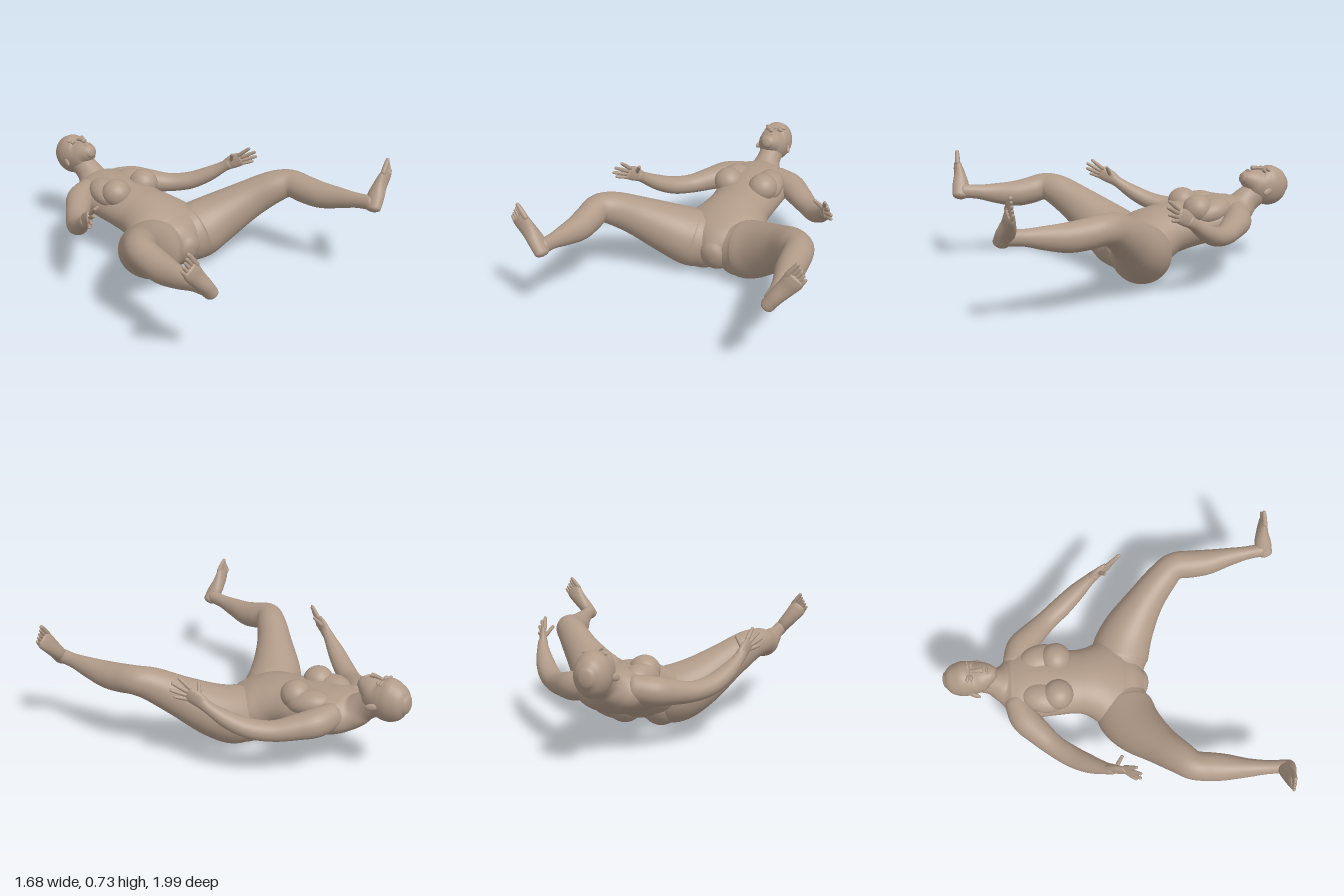
import * as THREE from 'three';

const skin = new THREE.MeshStandardMaterial({ color: 0xb09a88 });
const V = (x, y, z) => new THREE.Vector3(x, y, z);
const UP = V(0, 1, 0);

// Smooth closed skin through oval sections [x, y, z, halfWidth, halfHeight], with domed ends
function loft(sections, { up = UP, steps = 6, sides = 28, dome = 0.6 } = {}) {
  const path = new THREE.CatmullRomCurve3(sections.map(s => V(s[0], s[1], s[2])), false, 'catmullrom');
  const size = new THREE.CatmullRomCurve3(sections.map(s => V(s[3], s[4], 0)), false, 'catmullrom');
  const count = (sections.length - 1) * steps;
  const rings = [];
  const domeRings = 4;
  const addRing = (t, push = 0, scale = 1) => {
    const tangent = path.getTangent(t);
    const r = size.getPoint(t);
    const c = path.getPoint(t).addScaledVector(tangent, push * dome * Math.min(r.x, r.y));
    const side = V(0, 0, 0).crossVectors(up, tangent).normalize();
    const normal = V(0, 0, 0).crossVectors(tangent, side);
    rings.push({ c, side, normal, a: r.x * scale, b: r.y * scale });
  };
  const angle = k => (k / domeRings) * Math.PI * 0.47;
  for (let k = domeRings; k > 0; k--) addRing(0, -Math.sin(angle(k)), Math.cos(angle(k)));
  for (let i = 0; i <= count; i++) addRing(i / count);
  for (let k = 1; k <= domeRings; k++) addRing(1, Math.sin(angle(k)), Math.cos(angle(k)));

  const pos = [], index = [];
  for (const { c, side, normal, a, b } of rings) {
    for (let j = 0; j < sides; j++) {
      const th = (j / sides) * Math.PI * 2;
      const p = c.clone().addScaledVector(side, a * Math.cos(th)).addScaledVector(normal, b * Math.sin(th));
      pos.push(p.x, p.y, p.z);
    }
  }
  const last = rings.length - 1, start = rings.length * sides, end = start + 1;
  pos.push(...rings[0].c.toArray(), ...rings[last].c.toArray());
  for (let j = 0; j < sides; j++) {
    const k = (j + 1) % sides;
    for (let i = 0; i < last; i++) {
      const p = i * sides, q = p + sides;
      index.push(p + j, p + k, q + j, p + k, q + k, q + j);
    }
    index.push(start, k, j, end, last * sides + j, last * sides + k);
  }
  const g = new THREE.BufferGeometry();
  g.setAttribute('position', new THREE.Float32BufferAttribute(pos, 3));
  g.setIndex(index);
  g.computeVertexNormals();
  return g;
}

function add(parent, name, geometry) {
  const mesh = new THREE.Mesh(geometry, skin);
  mesh.name = name;
  parent.add(mesh);
  return mesh;
}

function ellipsoid(parent, name, p, r, rot = [0, 0, 0]) {
  const mesh = add(parent, name, new THREE.SphereGeometry(1, 32, 20));
  mesh.position.set(...p);
  mesh.scale.set(...r);
  mesh.rotation.set(...rot);
}

function digit(parent, name, from, to, r) {
  const mid = from.clone().lerp(to, 0.55);
  add(parent, name, loft([[...from.toArray(), r, r], [...mid.toArray(), r * 0.95, r * 0.95],
    [...to.toArray(), r * 0.75, r * 0.75]], { steps: 4, sides: 12, dome: 1 }));
}

function buildHead(group) {
  const head = new THREE.Group();
  head.name = 'head';
  group.add(head);
  // skull tapering to the chin
  add(head, 'skull', loft([
    [0, 0.495, -0.985, 0.045, 0.052], [0, 0.495, -0.955, 0.077, 0.092], [0, 0.493, -0.90, 0.096, 0.12],
    [0, 0.495, -0.85, 0.096, 0.119], [0, 0.507, -0.80, 0.089, 0.098], [0, 0.53, -0.76, 0.075, 0.071],
    [0, 0.545, -0.72, 0.052, 0.048], [0, 0.55, -0.70, 0.034, 0.032],
  ], { sides: 36, dome: 0.35 }));
  add(head, 'nose', loft([[0, 0.600, -0.83, 0.010, 0.008], [0, 0.606, -0.795, 0.011, 0.011],
    [0, 0.606, -0.765, 0.017, 0.013]], { sides: 16 }));
  ellipsoid(head, 'upperLip', [0, 0.591, -0.739], [0.024, 0.009, 0.006]);
  ellipsoid(head, 'lowerLip', [0, 0.586, -0.729], [0.021, 0.009, 0.006]);
  for (const s of [1, -1]) {
    ellipsoid(head, 'eye', [s * 0.038, 0.591, -0.828], [0.018, 0.014, 0.01]);
    ellipsoid(head, 'brow', [s * 0.04, 0.595, -0.848], [0.027, 0.013, 0.009], [0, s * 0.15, 0]);
    ellipsoid(head, 'ear', [s * 0.099, 0.472, -0.825], [0.011, 0.02, 0.036], [0.25, s * 0.3, 0]);
  }
}

function buildArm(group, s) {
  const arm = new THREE.Group();
  arm.name = s > 0 ? 'leftArm' : 'rightArm';
  group.add(arm);
  add(arm, 'armSkin', loft([
    [0.12, 0.36, -0.60, 0.07, 0.075], [0.22, 0.345, -0.56, 0.083, 0.08], [0.30, 0.33, -0.49, 0.075, 0.07],
    [0.39, 0.317, -0.40, 0.063, 0.057], [0.47, 0.335, -0.30, 0.061, 0.054], [0.535, 0.385, -0.205, 0.052, 0.047],
    [0.582, 0.446, -0.12, 0.034, 0.034], [0.598, 0.475, -0.08, 0.028, 0.036],
  ].map(([x, ...r]) => [s * x, ...r])));
  // palm turned inward, fingers fanned upward and forward
  add(arm, 'palm', loft([[0.59, 0.462, -0.10, 0.025, 0.034], [0.607, 0.494, -0.055, 0.021, 0.044],
    [0.623, 0.517, -0.012, 0.016, 0.042]].map(([x, ...r]) => [s * x, ...r])));
  const fingers = [
    ['indexFinger', [0.612, 0.545, -0.015], [0.632, 0.597, 0.045]],
    ['middleFinger', [0.625, 0.530, -0.003], [0.662, 0.572, 0.066]],
    ['ringFinger', [0.630, 0.510, 0], [0.678, 0.538, 0.064]],
    ['littleFinger', [0.630, 0.489, -0.005], [0.672, 0.503, 0.042]],
    ['thumb', [0.593, 0.505, -0.06], [0.554, 0.560, -0.025]],
  ];
  for (const [name, a, b] of fingers)
    digit(arm, name, V(s * a[0], a[1], a[2]), V(s * b[0], b[1], b[2]), 0.012);
}

function buildLeg(group, s) {
  const leg = new THREE.Group();
  leg.name = s > 0 ? 'leftLeg' : 'rightLeg';
  group.add(leg);
  // the right leg rests a little lower and further back
  const place = ([x, y, z, ...r]) => {
    const k = s > 0 ? 0 : THREE.MathUtils.smoothstep(z, 0.1, 0.75);
    return [s * x, y - 0.04 * k, z - 0.05 * k, ...r];
  };
  add(leg, 'legSkin', loft([
    [0.09, 0.175, 0.01, 0.15, 0.16], [0.19, 0.195, 0.03, 0.175, 0.172], [0.31, 0.258, 0.09, 0.155, 0.152],
    [0.45, 0.365, 0.205, 0.112, 0.118], [0.55, 0.445, 0.31, 0.093, 0.098], [0.61, 0.474, 0.39, 0.082, 0.083],
    [0.622, 0.462, 0.50, 0.08, 0.082], [0.63, 0.457, 0.60, 0.073, 0.078], [0.645, 0.47, 0.72, 0.053, 0.062],
    [0.655, 0.485, 0.83, 0.039, 0.044], [0.662, 0.495, 0.92, 0.038, 0.042],
  ].map(place), { sides: 36 }));
  // foot with the sole facing forward, toes up and outward
  add(leg, 'foot', loft([
    [0.652, 0.472, 0.945, 0.036, 0.044], [0.69, 0.525, 0.93, 0.041, 0.05],
    [0.735, 0.58, 0.925, 0.047, 0.036], [0.77, 0.625, 0.928, 0.052, 0.025], [0.785, 0.645, 0.93, 0.047, 0.018],
  ].map(place), { up: V(0, 0, 1) }));
  for (let i = 0; i < 5; i++) {
    const across = -0.039 + 0.0195 * i, length = 0.076 - 0.009 * i;
    const x = 0.775 + 0.8 * across, y = 0.635 - 0.6 * across;
    digit(leg, 'toe', V(...place([x, y, 0.932])),
      V(...place([x + 0.6 * length, y + 0.8 * length, 0.925])), i ? 0.011 : 0.015);
  }
}

export function createModel() {
  const figure = new THREE.Group();
  figure.name = 'recliningFigure';
  // torso and neck
  add(figure, 'torso', loft([
    [0, 0.155, 0.12, 0.09, 0.105], [0, 0.185, 0.05, 0.20, 0.145], [0, 0.205, -0.02, 0.265, 0.16],
    [0, 0.243, -0.10, 0.255, 0.16], [0, 0.273, -0.18, 0.21, 0.152], [0, 0.287, -0.25, 0.193, 0.144],
    [0, 0.303, -0.35, 0.199, 0.137], [0, 0.317, -0.45, 0.208, 0.133], [0, 0.333, -0.56, 0.215, 0.124],
    [0, 0.348, -0.63, 0.185, 0.108], [0, 0.368, -0.68, 0.115, 0.092], [0, 0.41, -0.73, 0.076, 0.081],
    [0, 0.465, -0.81, 0.072, 0.078],
  ], { sides: 48 }));
  buildHead(figure);
  for (const s of [1, -1]) {
    ellipsoid(figure, 'breast', [s * 0.112, 0.41, -0.355], [0.088, 0.083, 0.088]);
    ellipsoid(figure, 'upperChest', [s * 0.118, 0.39, -0.44], [0.09, 0.072, 0.13], [0.2, s * 0.2, 0]);
    ellipsoid(figure, 'buttock', [s * 0.112, 0.152, 0], [0.13, 0.148, 0.15]);
    buildArm(figure, s);
    buildLeg(figure, s);
  }
  return figure;
}
